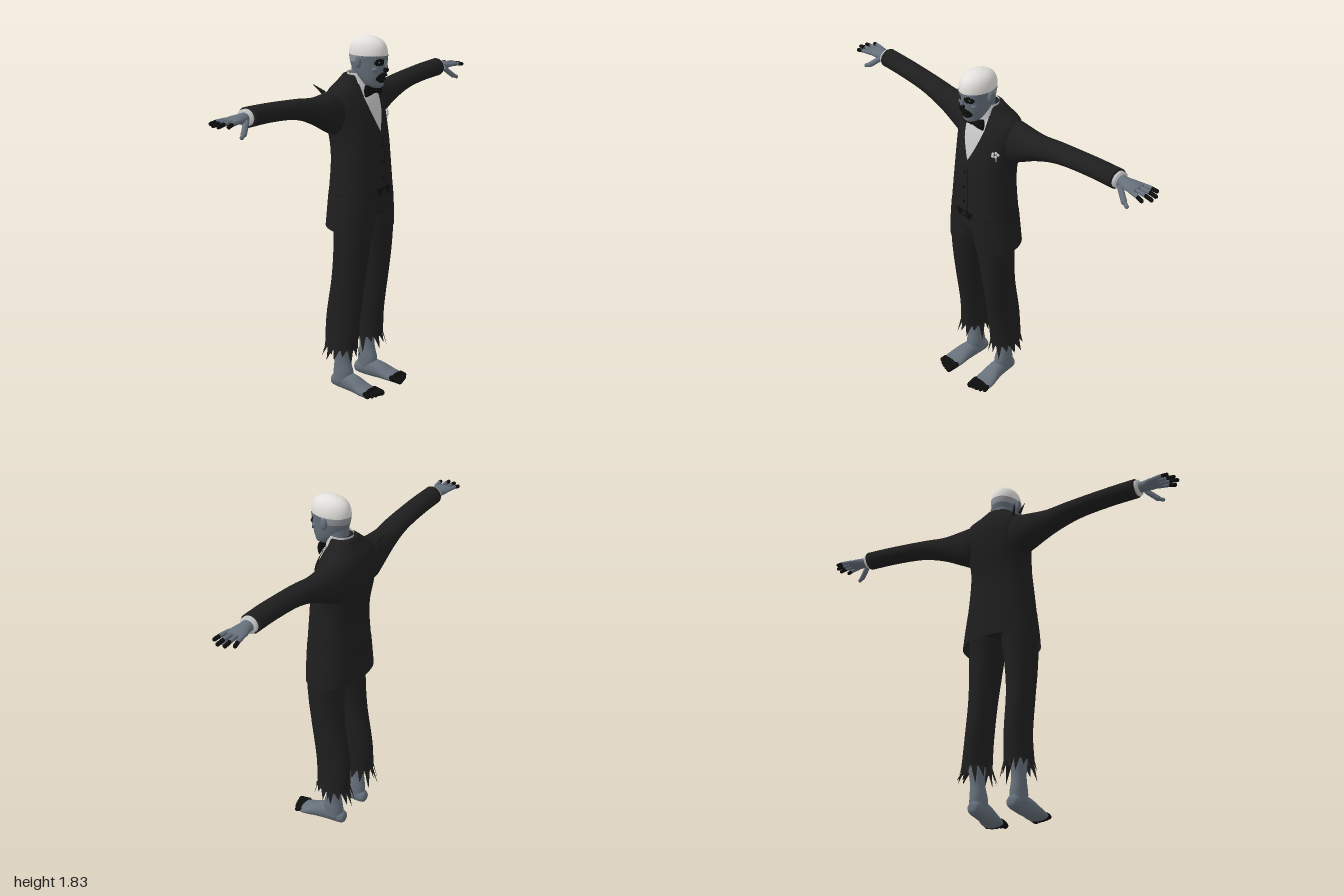
import * as THREE from 'three';

const mat = (name, color, side = THREE.FrontSide) => {
  const m = new THREE.MeshStandardMaterial({ color, side });
  m.name = name;
  return m;
};

// Smooth interpolation through a list of cross-sections
function resample(secs, rows) {
  const out = [], last = secs.length - 1;
  for (let r = 0; r <= rows; r++) {
    const f = (r / rows) * last, i = Math.min(Math.floor(f), last - 1), t = f - i;
    const at = (k) => secs[Math.max(0, Math.min(last, k))];
    out.push(secs[0].map((_, c) => {
      const a = at(i - 1)[c], b = at(i)[c], d = at(i + 1)[c], e = at(i + 2)[c];
      return b + 0.5 * t * (d - a + t * (2 * a - 5 * b + 4 * d - e + t * (3 * (b - d) + e - a)));
    }));
  }
  return out;
}

// Grid surface; pick chooses a material index for each cell
function grid(nu, nv, closed, fn, pick = () => 0) {
  const pos = [], lists = [], w = closed ? nu : nu + 1;
  for (let j = 0; j <= nv; j++) for (let i = 0; i < w; i++) pos.push(...fn(i / nu, j));
  for (let j = 0; j < nv; j++) for (let i = 0; i < nu; i++) {
    const a = j * w + i, b = j * w + ((i + 1) % w), c = a + w, d = b + w;
    const mid = [0, 1, 2].map((k) => (pos[a * 3 + k] + pos[b * 3 + k] + pos[c * 3 + k] + pos[d * 3 + k]) / 4);
    const m = pick(...mid);
    (lists[m] ??= []).push(a, c, b, b, c, d);
  }
  const g = new THREE.BufferGeometry(), index = [];
  lists.forEach((l, m) => { g.addGroup(index.length, l.length, m); for (const k of l) index.push(k); });
  g.setAttribute('position', new THREE.Float32BufferAttribute(pos, 3));
  g.setIndex(index);
  g.computeVertexNormals();
  return g;
}

const power = (v, p) => Math.sign(v) * Math.abs(v) ** (2 / p);
const place = {
  y: (t, a, b) => [a, t, b],
  x: (t, a, b) => [t, b, a],
  z: (t, a, b) => [b, a, t],
};

// Loft along an axis; sections are [t, a, b, radiusA, radiusB]
function loft(axis, secs, { n = 28, rows = 24, p = 2, caps = true, pick } = {}) {
  const rings = resample(secs, rows);
  if (caps) {
    const flat = (s) => [s[0], s[1], s[2], 0, 0];
    rings.unshift(flat(rings[0]));
    rings.push(flat(rings[rings.length - 1]));
  }
  return grid(n, rings.length - 1, true, (u, j) => {
    const [t, a, b, ra, rb] = rings[j], q = u * Math.PI * 2;
    return place[axis](t, a + ra * power(Math.cos(q), p), b + rb * power(Math.sin(q), p));
  }, pick);
}

function flipX(geo) {
  const g = geo.clone().scale(-1, 1, 1), ix = g.index;
  for (let i = 0; i < ix.count; i += 3) {
    const k = ix.getX(i);
    ix.setX(i, ix.getX(i + 1));
    ix.setX(i + 1, k);
  }
  return g;
}

function ball(x, y, z, rx, ry, rz) {
  return new THREE.SphereGeometry(1, 16, 12).scale(rx, ry, rz).translate(x, y, z);
}

// Rounded rod between two points
function rod(from, to, r) {
  const a = new THREE.Vector3(...from), b = new THREE.Vector3(...to), d = b.clone().sub(a);
  const q = new THREE.Quaternion().setFromUnitVectors(new THREE.Vector3(0, 1, 0), d.clone().normalize());
  return new THREE.CapsuleGeometry(r, d.length(), 4, 10).applyQuaternion(q)
    .translate(...a.add(b).multiplyScalar(0.5).toArray());
}

export function createModel() {
  const model = new THREE.Group();
  const suit = mat('suit cloth', 0x1e1e1e, THREE.DoubleSide);
  const black = mat('black', 0x0d0d0e, THREE.DoubleSide);
  const skin = mat('grey skin', 0x66707b);
  const bald = mat('pale scalp', 0xe2e0dc);
  const band = mat('grey scalp', 0x92969b);
  const linen = mat('shirt linen', 0xc6c6c6, THREE.DoubleSide);
  const add = (name, geo, m) => {
    const mesh = new THREE.Mesh(geo, m);
    mesh.name = name;
    model.add(mesh);
  };
  const pair = (name, geo, m) => {
    add('left' + name, geo, m);
    add('right' + name, flipX(geo), m);
  };

  // Jacket body
  const torso = [
    [1.05, 0, -0.015, 0.18, 0.138], [1.2, 0, -0.015, 0.165, 0.13], [1.3, 0, -0.022, 0.157, 0.132],
    [1.4, 0, -0.04, 0.165, 0.13], [1.5, 0, -0.055, 0.175, 0.115], [1.56, 0, -0.06, 0.165, 0.092],
    [1.6, 0, -0.055, 0.115, 0.07], [1.64, 0, -0.045, 0.068, 0.054]];
  add('jacketBody', loft('y', torso, { n: 48, rows: 42, p: 2.3 }), suit);

  // Jacket skirt, cut away at the front
  const skirt = resample([[0.86, 0, -0.02, 0.202, 0.143], [0.95, 0, -0.017, 0.193, 0.142], [1.06, 0, -0.015, 0.18, 0.139]], 12);
  add('jacketSkirt', grid(48, 12, false, (u, j) => {
    const [t, , b, ra, rb] = skirt[j], gap = 0.05 + 0.33 * (1 - j / 12) ** 0.7;
    const q = Math.PI / 2 + gap + u * 2 * (Math.PI - gap), s = Math.sin(q);
    return [ra * power(Math.cos(q), 2.3), t + 0.018 * (1 - s) * (1 - j / 12), b + rb * power(s, 2.3)];
  }), suit);

  // Plates that follow the chest; rows are [y, x0, x1]
  const rings = resample(torso, 80);
  const chestZ = (x, y) => {
    const i = Math.max(1, rings.findIndex((r) => r[0] >= y)), a = rings[i - 1], b = rings[i];
    const s = a.map((v, c) => THREE.MathUtils.lerp(v, b[c], (y - a[0]) / (b[0] - a[0])));
    return s[2] + s[4] * Math.max(0, 1 - Math.abs(x / s[3]) ** 2.3) ** (1 / 2.3);
  };
  const plate = (ends, lift) => {
    const steps = 16;
    return grid(10, steps, false, (u, j) => {
      const f = (j / steps) * (ends.length - 1), i = Math.min(Math.floor(f), ends.length - 2);
      const [y, x0, x1] = ends[i].map((v, c) => THREE.MathUtils.lerp(v, ends[i + 1][c], f - i));
      const x = THREE.MathUtils.lerp(x1, x0, u);
      return [x, y, chestZ(x, y) + lift];
    });
  };
  add('shirtFront', plate([[1.37, -0.002, 0.002], [1.47, -0.05, 0.05], [1.56, -0.068, 0.068], [1.59, -0.06, 0.06]], 0.005), linen);
  pair('Lapel', plate([[1.34, 0.0, 0.012], [1.48, 0.05, 0.1], [1.53, 0.062, 0.108], [1.6, 0.06, 0.085]], 0.009), suit);
  add('jacketEdge', plate([[1.06, 0.018, 0.022], [1.34, 0.008, 0.012]], 0.004), black);
  pair('WaistcoatPoint', plate([[1.05, 0.03, 0.04], [1.09, 0.0, 0.06]], 0.005), black);
  for (const y of [1.14, 1.22, 1.3]) add('button', ball(-0.008, y, chestZ(0, y) + 0.003, 0.007, 0.007, 0.005), black);

  // Pocket flower
  for (let i = 0; i < 5; i++) {
    const a = i * 1.257, x = 0.134 + 0.01 * Math.cos(a), y = 1.432 + 0.01 * Math.sin(a);
    add('flowerPetal', ball(x, y, chestZ(x, y) + 0.008, 0.008, 0.008, 0.006), linen);
  }
  add('flowerStem', rod([0.137, 1.42, chestZ(0.137, 1.42) + 0.006], [0.139, 1.4, chestZ(0.139, 1.4) + 0.006], 0.003), linen);

  // Neck, shirt collar and bow tie
  add('neck', loft('y', [[1.52, 0, -0.03, 0.052, 0.052], [1.6, 0, -0.012, 0.05, 0.054], [1.69, 0, 0.0, 0.055, 0.06]]), skin);
  add('shirtCollar', loft('y', [[1.56, 0, -0.016, 0.066, 0.07], [1.6, 0, -0.02, 0.064, 0.066], [1.65, 0, -0.026, 0.06, 0.06]], { caps: false, rows: 8 }), linen);
  pair('BowTieWing', loft('x', [[0.0, 0.066, 1.567, 0.01, 0.011], [0.03, 0.066, 1.568, 0.013, 0.021], [0.062, 0.058, 1.569, 0.01, 0.031]], { n: 16, rows: 8 }), black);
  add('bowTieKnot', ball(0, 1.567, 0.07, 0.014, 0.015, 0.014), black);

  // Head with painted eye sockets and mouth
  const inside = (x, y, cx, cy, rx, ry) => ((x - cx) / rx) ** 2 + ((y - cy) / ry) ** 2 < 1;
  add('head', loft('y', [
    [1.582, 0, 0.078, 0.022, 0.024], [1.592, 0, 0.066, 0.04, 0.044], [1.615, 0, 0.054, 0.053, 0.06],
    [1.65, 0, 0.04, 0.063, 0.084], [1.7, 0, 0.031, 0.071, 0.098], [1.75, 0, 0.03, 0.075, 0.102],
    [1.79, 0, 0.03, 0.066, 0.09], [1.815, 0, 0.03, 0.046, 0.062], [1.829, 0, 0.03, 0.014, 0.02]],
  { n: 80, rows: 72, pick: (x, y, z) => {
    if (z > 0.06 && (inside(Math.abs(x), y, 0.031, 1.71, 0.021, 0.017) || inside(x, y, 0, 1.634, 0.038, 0.027))) return 1;
    if (y > 1.742) return 2;
    return y > 1.705 && z < 0.035 ? 3 : 0;
  } }), [skin, black, bald, band]);
  pair('Eye', ball(0.031, 1.71, 0.112, 0.008, 0.006, 0.008), band);
  pair('Brow', rod([0.012, 1.728, 0.126], [0.045, 1.736, 0.108], 0.007), skin);
  pair('Cheek', ball(0.04, 1.675, 0.094, 0.017, 0.015, 0.018), skin);
  pair('Ear', ball(0.077, 1.71, 0.022, 0.013, 0.03, 0.018), skin);
  add('noseBridge', rod([0, 1.715, 0.126], [0, 1.688, 0.134], 0.009), skin);
  add('noseTip', ball(0, 1.672, 0.131, 0.015, 0.013, 0.015), black);
  add('upperLip', ball(0, 1.645, 0.12, 0.026, 0.008, 0.013), black);
  add('lowerLip', ball(0, 1.622, 0.113, 0.02, 0.007, 0.012), black);

  // Sleeves and cuffs
  pair('Sleeve', loft('x', [
    [0.08, -0.07, 1.465, 0.08, 0.105], [0.14, -0.074, 1.462, 0.082, 0.112], [0.2, -0.075, 1.472, 0.075, 0.096],
    [0.3, -0.074, 1.495, 0.063, 0.067], [0.4, -0.072, 1.521, 0.058, 0.053], [0.5, -0.072, 1.537, 0.055, 0.046],
    [0.65, -0.073, 1.549, 0.053, 0.045], [0.785, -0.075, 1.553, 0.05, 0.047]], { rows: 36 }), suit);
  pair('Cuff', loft('x', [[0.77, -0.075, 1.553, 0.043, 0.039], [0.802, -0.075, 1.553, 0.043, 0.039]], { rows: 2 }), linen);

  // Hands
  pair('Palm', loft('x', [
    [0.78, -0.075, 1.553, 0.031, 0.027], [0.82, -0.075, 1.553, 0.032, 0.024],
    [0.87, -0.077, 1.554, 0.045, 0.019], [0.905, -0.078, 1.554, 0.043, 0.013]], { n: 20, rows: 12 }), skin);
  [[-0.038, 0.965, -0.022], [-0.064, 0.99, -0.058], [-0.09, 0.985, -0.093], [-0.113, 0.962, -0.128]].forEach(([z, x, tip]) => {
    const k = 0.6, mid = [0.89 + (x - 0.89) * k, 1.554, z + (tip - z) * k];
    pair('Finger', rod([0.885, 1.555, z], mid, 0.0105), skin);
    pair('FingerTip', rod(mid, [x, 1.549, tip], 0.0098), black);
  });
  pair('Thumb', rod([0.825, 1.54, -0.045], [0.872, 1.5, -0.02], 0.014), skin);
  pair('ThumbTip', rod([0.872, 1.5, -0.02], [0.895, 1.49, -0.012], 0.01), skin);

  // Trousers
  add('trouserSeat', loft('y', [[0.925, 0, -0.012, 0.11, 0.08], [0.96, 0, -0.012, 0.155, 0.11], [1.09, 0, -0.015, 0.155, 0.12]], { p: 2.3 }), suit);
  pair('TrouserLeg', loft('y', [
    [0.24, 0.115, -0.058, 0.07, 0.09], [0.4, 0.107, -0.05, 0.061, 0.097], [0.6, 0.105, -0.02, 0.065, 0.094],
    [0.75, 0.101, -0.004, 0.077, 0.096], [0.88, 0.094, 0, 0.088, 0.1], [0.98, 0.085, -0.01, 0.085, 0.1]],
  { caps: false, rows: 30 }), suit);

  // Torn hem: pointed strips around each trouser leg
  const drops = [0.05, 0.03, 0.07, 0.04, 0.06, 0.025, 0.08, 0.045, 0.06, 0.1, 0.05, 0.07, 0.035, 0.06], count = drops.length;
  const pts = [];
  drops.forEach((drop, i) => {
    const ring = (k, grow, y) => {
      const q = (k / count) * Math.PI * 2;
      return [0.115 + (0.07 + grow) * Math.cos(q), y, -0.058 + (0.09 + grow) * Math.sin(q)];
    };
    pts.push(...ring(i, 0, 0.25), ...ring(i + 1, 0, 0.25), ...ring(i + 0.3, drop * 0.3, 0.24 - drop));
  });
  const hem = new THREE.BufferGeometry();
  hem.setAttribute('position', new THREE.Float32BufferAttribute(pts, 3));
  hem.setIndex(pts.slice(0, count * 3).map((_, i) => i));
  hem.computeVertexNormals();
  pair('TornHem', hem, suit);
  const shred = (a, b) => {
    const d = b.map((v, i) => v - a[i]);
    const q = new THREE.Quaternion().setFromUnitVectors(new THREE.Vector3(0, 1, 0), new THREE.Vector3(...d).normalize());
    return new THREE.ConeGeometry(0.012, Math.hypot(...d), 5).scale(1, 1, 0.5).applyQuaternion(q)
      .translate(...a.map((v, i) => (v + b[i]) / 2));
  };
  pair('OuterShred', shred([0.17, 0.26, -0.06], [0.215, 0.2, -0.08]), suit);
  pair('BackShred', shred([0.12, 0.25, -0.14], [0.125, 0.155, -0.178]), suit);
  add('looseThread', shred([0.05, 0.27, -0.06], [-0.005, 0.15, -0.07]), suit);
  add('shoulderTear', shred([-0.13, 1.55, -0.14], [-0.165, 1.595, -0.185]), suit);
  add('shoulderTear', shred([-0.16, 1.56, -0.13], [-0.205, 1.6, -0.15]), suit);

  // Ankles, feet and toes
  pair('Ankle', loft('y', [
    [0.04, 0.108, -0.055, 0.038, 0.052], [0.1, 0.108, -0.05, 0.04, 0.056], [0.17, 0.111, -0.055, 0.035, 0.043],
    [0.25, 0.113, -0.06, 0.04, 0.046], [0.36, 0.11, -0.055, 0.046, 0.055]]), skin);
  pair('Foot', loft('z', [
    [-0.122, 0.04, 0.104, 0.015, 0.015], [-0.105, 0.042, 0.104, 0.034, 0.032], [-0.03, 0.05, 0.107, 0.048, 0.039],
    [0.03, 0.046, 0.113, 0.044, 0.046], [0.09, 0.032, 0.119, 0.028, 0.055], [0.14, 0.026, 0.121, 0.02, 0.053]],
  { pick: (x, y, z) => (z > 0.118 ? 1 : 0) }), [skin, black]);
  for (let i = 0; i < 5; i++) {
    const x = 0.08 + i * 0.021, r = i ? 0.0125 : 0.016, end = 0.172 - 0.003 * i * i * 0.6;
    pair('Toe', rod([x, 0.032, 0.125], [x + 0.004, 0.026, end], r), black);
  }

  // Rest the soles on the ground
  const low = new THREE.Box3().setFromObject(model).min.y;
  model.children.forEach((m) => m.geometry.translate(0, -low, 0));
  return model;
}
